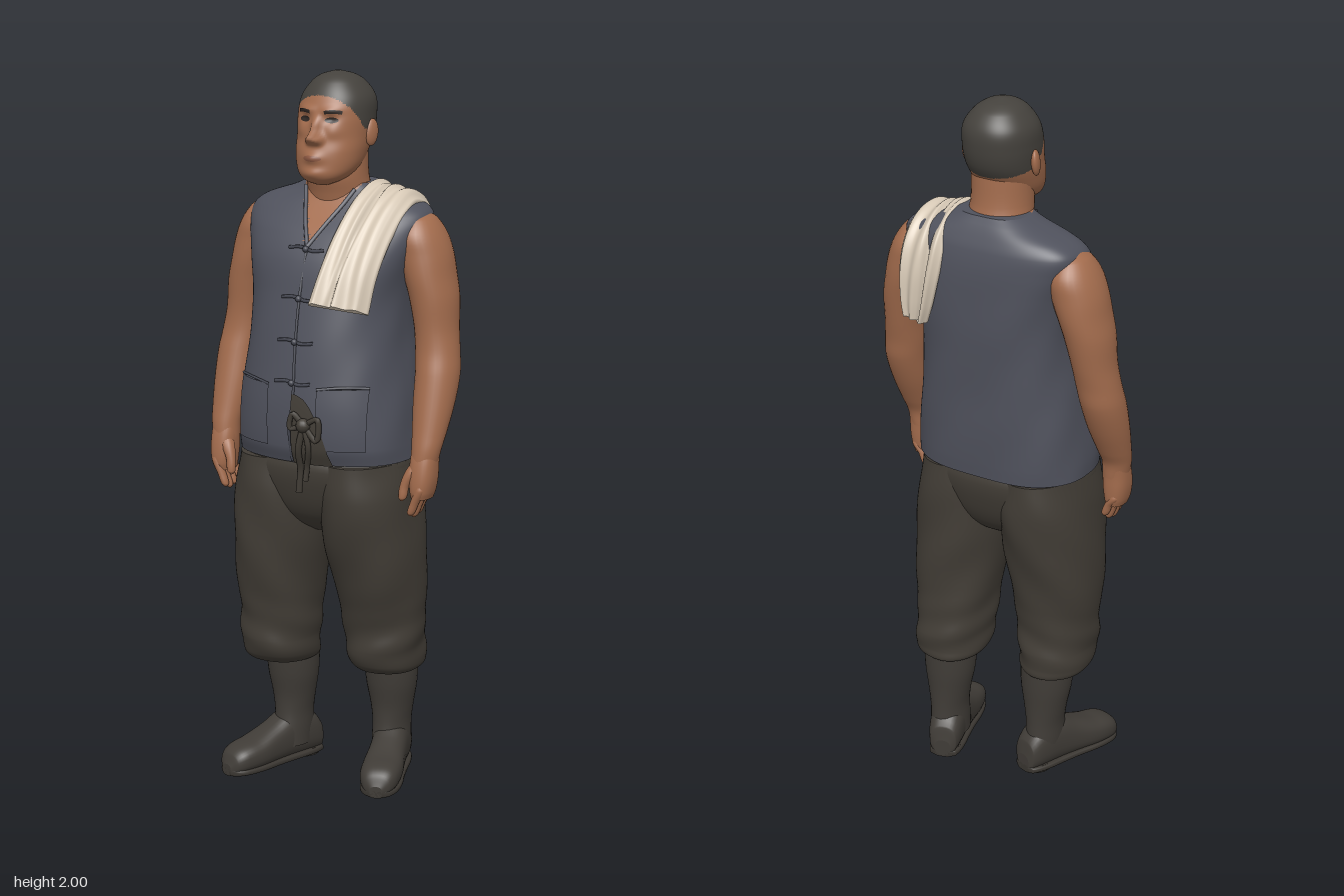
import * as THREE from 'three';

const mat = (name, color, side = THREE.FrontSide) => {
  const m = new THREE.MeshStandardMaterial({ color, side });
  m.name = name;
  return m;
};

// Skin closed rings of points into a smooth surface with end caps; pick() chooses a material per face
function skin(rings, pick) {
  const pos = [], n = rings[0].length, faces = [[], []];
  rings.forEach(r => r.forEach(p => pos.push(p.x, p.y, p.z)));
  const pt = i => new THREE.Vector3().fromArray(pos, i * 3);
  const tri = (a, b, c) => {
    const mid = pt(a).add(pt(b)).add(pt(c)).divideScalar(3);
    faces[pick && pick(mid) ? 1 : 0].push(a, b, c);
  };
  for (let i = 0; i < rings.length - 1; i++) for (let j = 0; j < n; j++) {
    const a = i * n + j, b = i * n + (j + 1) % n;
    tri(a, a + n, b);
    tri(b, a + n, b + n);
  }
  [rings[0], rings[rings.length - 1]].forEach((r, end) => {
    const base = pos.length / 3, c = new THREE.Vector3();
    r.forEach(p => { pos.push(p.x, p.y, p.z); c.addScaledVector(p, 1 / n); });
    pos.push(c.x, c.y, c.z);
    for (let j = 0; j < n; j++) {
      const a = base + j, b = base + (j + 1) % n;
      end ? tri(a, base + n, b) : tri(a, b, base + n);
    }
  });
  const g = new THREE.BufferGeometry();
  g.setAttribute('position', new THREE.Float32BufferAttribute(pos, 3));
  g.setIndex([...faces[0], ...faces[1]]);
  if (pick) {
    g.addGroup(0, faces[0].length, 0);
    g.addGroup(faces[0].length, faces[1].length, 1);
  }
  g.computeVertexNormals();
  return g;
}

// Smoothly interpolated section [y, cx, cz, rx, rz]
function at(S, y) {
  let i = 0;
  while (i < S.length - 2 && y > S[i + 1][0]) i++;
  const a = S[i], b = S[i + 1], p = S[i - 1] || a, q = S[i + 2] || b;
  const h = b[0] - a[0], t = Math.min(1, Math.max(0, (y - a[0]) / h));
  return [0, 1, 2, 3, 4].map(k => {
    const m0 = h * (b[k] - p[k]) / (b[0] - p[0]), m1 = h * (q[k] - a[k]) / (q[0] - a[0]);
    const v = a[k] + t * (m0 + t * (3 * (b[k] - a[k]) - 2 * m0 - m1 + t * (2 * (a[k] - b[k]) + m0 + m1)));
    return k > 2 ? Math.max(v, 0.002) : v;
  });
}

// Loft of superellipse sections; n and back set the squareness of the front and back halves
function loft(S, { seg = 32, sub = 5, n = 2, back = n, wave = () => 1, move, pick } = {}) {
  const rings = [], pw = (v, e) => Math.sign(v) * Math.abs(v) ** (2 / e);
  for (let i = 0; i < S.length - 1; i++) for (let k = i ? 1 : 0; k <= sub; k++) {
    const y = S[i][0] + (S[i + 1][0] - S[i][0]) * k / sub, [, cx, cz, rx, rz] = at(S, y);
    rings.push(Array.from({ length: seg }, (_, j) => {
      const a = j / seg * Math.PI * 2, w = wave(a, y), e = Math.sin(a) > 0 ? n : back;
      const p = new THREE.Vector3(cx + rx * w * pw(Math.cos(a), e), y, cz + rz * w * pw(Math.sin(a), e));
      if (move && Math.sin(a) > 0) move(p);
      return p;
    }));
  }
  return skin(rings, pick);
}

// Depth of a lofted part's front surface
const frontZ = (S, x, y, n) => {
  const [, cx, cz, rx, rz] = at(S, y);
  return cz + rz * Math.max(0, 1 - Math.abs((x - cx) / rx) ** n) ** (1 / n);
};

export function createModel() {
  const root = new THREE.Group();
  const M = {
    skin: mat('skin', 0xa36c4d), hair: mat('hair', 0x45423d), vest: mat('vest cloth', 0x50525d, THREE.DoubleSide),
    seam: mat('vest seam', 0x464852), trousers: mat('trouser cloth', 0x423d36, THREE.DoubleSide),
    boots: mat('boot leather', 0x403c37), sole: mat('sole', 0x3a3631), towel: mat('towel', 0xd6c8b5),
    dark: mat('brow and eye', 0x2e2622), lip: mat('lip', 0x8c5842),
  };
  const add = (name, g, m, parent = root) => {
    const mesh = new THREE.Mesh(g, m);
    mesh.name = name;
    parent.add(mesh);
    return mesh;
  };

  // Vest, with skin showing in the V neck
  const torso = [[.955, 0, 0, .255, .188], [1, 0, .006, .254, .198], [1.1, 0, .005, .246, .202], [1.2, 0, -.002, .234, .198],
    [1.3, 0, -.012, .224, .193], [1.4, 0, -.025, .224, .186], [1.5, 0, -.036, .244, .174], [1.57, 0, -.054, .262, .152],
    [1.62, 0, -.073, .267, .124], [1.65, 0, -.08, .232, .105], [1.68, 0, -.08, .145, .088], [1.7, 0, -.075, .1, .075]];
  add('vest', loft(torso, {
    seg: 96, sub: 8, n: 2.3, back: 2.75,
    wave: (a, y) => 1 + .01 * Math.sin(5 * a + y * 16) * Math.sin(y * 9 + 2 * a),
    pick: p => p.z > -.06 && Math.abs(p.x) < (p.y - 1.54) * .55,
  }), [M.vest, M.skin]);
  const vz = (x, y) => frontZ(torso, x, y, 2.3);
  const cord = (name, pts, r, m, lift = .003) => add(name, new THREE.TubeGeometry(new THREE.CatmullRomCurve3(
    pts.map(([x, y, l = 0]) => new THREE.Vector3(x, y, vz(x, y) + lift + l))), 24, r, 6), m);
  const decal = (name, g, zAt, lift, m, warp) => {
    const P = g.attributes.position;
    for (let i = 0; i < P.count; i++) {
      const [x, y] = warp ? warp(P.getX(i), P.getY(i)) : [P.getX(i), P.getY(i)];
      P.setXYZ(i, x, y, zAt(x, y) + lift);
    }
    g.computeVertexNormals();
    return add(name, g, m);
  };
  cord('frontEdge', [[0, 1.54], [0, 1.4], [.002, 1.25], [.005, 1.14], [-.005, 1.05], [-.005, .96]], .004, M.seam);
  for (const s of [-1, 1]) {
    cord('neckTrim', [[0, 1.54], [s * .033, 1.6], [s * .06, 1.65], [s * .077, 1.685]], .006, M.vest);
    decal('pocket', new THREE.PlaneGeometry(.125, .17, 12, 12).translate(s * .138, 1.085, 0), vz, .006, M.vest);
    cord('pocketEdge', [[s * .075, 1.168], [s * .14, 1.176], [s * .2, 1.172]], .004, M.seam, .005);
  }
  for (const y of [1.535, 1.405, 1.29, 1.18]) {
    cord('frogClosure', [[-.055, y], [-.02, y + .004], [.02, y - .004], [.055, y]], .005, M.seam, .003);
    add('knotButton', new THREE.SphereGeometry(.009, 12, 8), M.seam).position.set(0, y, vz(0, y) + .007);
  }

  // Waist opening and drawstring
  decal('waistOpening', new THREE.PlaneGeometry(1, 1, 10, 20), vz, .007, M.trousers, (u, v) => {
    const t = v + .5, w = .115 * (1 - t * .995) ** .4;
    return [.002 + (u + .5) * w, .955 + .195 * t];
  });
  add('drawstringKnot', new THREE.SphereGeometry(.02, 14, 10), M.trousers).position.set(.045, 1.07, vz(.045, 1.07) + .014);
  cord('drawstringLoop', [[.045, 1.07], [.015, 1.1, .006], [.008, 1.06, .006], [.045, 1.07]], .008, M.trousers, .012);
  cord('drawstringLoop', [[.045, 1.07], [.088, 1.09, .006], [.085, 1.03, .006], [.045, 1.07]], .008, M.trousers, .012);
  cord('drawstringTail', [[.045, 1.07], [.03, 1.0, .004], [.025, .94], [.02, .875]], .009, M.trousers, .012);
  cord('drawstringTail', [[.045, 1.07], [.06, 1.01, .004], [.045, .95], [.04, .91]], .008, M.trousers, .012);

  // Neck and head
  add('neck', loft([[1.58, 0, -.075, .09, .085], [1.67, 0, -.058, .09, .085], [1.72, 0, -.045, .086, .085],
    [1.8, 0, -.045, .084, .08]]), M.skin);
  const skull = [[1.7, 0, .035, .02, .02], [1.71, 0, .03, .045, .05], [1.725, 0, .02, .068, .07], [1.75, 0, .003, .085, .088],
    [1.79, 0, -.016, .095, .104], [1.83, 0, -.034, .1, .11], [1.88, 0, -.043, .103, .112], [1.93, 0, -.05, .098, .103],
    [1.97, 0, -.05, .071, .077], [1.99, 0, -.047, .043, .046], [2, 0, -.045, .008, .008]];
  const bumps = [[0, 1.83, .037, .017, .016], [0, 1.858, .02, .012, .024], [.017, 1.823, .014, .009, .01],
    [.036, 1.903, .007, .026, .01], [.038, 1.878, -.008, .017, .011], [.05, 1.845, .005, .022, .018],
    [0, 1.776, .012, .026, .016], [0, 1.735, .01, .034, .018]];
  const relief = (x, y) => bumps.reduce((sum, [bx, by, h, sx, sy]) =>
    sum + h * Math.exp(-(((Math.abs(x) - bx) / sx) ** 2) - ((y - by) / sy) ** 2), 0);
  add('head', loft(skull, {
    seg: 128, sub: 10, n: 2.15, move: p => { p.z += relief(p.x, p.y); },
    pick: p => p.y > 1.85 ? p.z < -.015 + (p.y - 1.85) * .7 : p.z < -.055 && p.y > 1.8 + .25 * (p.z + .14),
  }), [M.skin, M.hair]);
  const hz = (x, y) => frontZ(skull, x, y, 2.15) + relief(x, y);
  const oval = (x, y, rx, ry) => new THREE.RingGeometry(0, 1, 24, 5).scale(rx, ry, 1).translate(x, y, 0);
  decal('mouth', oval(0, 1.776, .028, .008), hz, .002, M.lip);
  for (const s of [-1, 1]) {
    decal('eye', oval(s * .041, 1.877, .018, .0075), hz, .002, M.dark);
    decal('eyebrow', new THREE.PlaneGeometry(.044, .01, 10, 3), hz, .002, M.dark,
      (x, y) => [s * .044 + x, 1.9 + y - 6 * x * x]);
    const ear = add('ear', new THREE.SphereGeometry(1, 18, 14), M.skin);
    ear.scale.set(.012, .037, .022);
    ear.position.set(s * .104, 1.838, -.047);
    ear.rotation.set(-.15, s * -.35, 0);
  }

  // Arms, hands, legs and boots; the right leg stands slightly forward
  for (const s of [-1, 1]) {
    const side = s > 0 ? 'left' : 'right';
    const flip = S => S.map(([y, x, z, rx, rz = rx]) => [y, s * x, z, rx, rz]);
    add(side + 'Arm', loft(flip([[.955, .318, .035, .036, .042], [1, .322, .029, .041, .042], [1.04, .322, .014, .047, .048],
      [1.12, .32, -.016, .057, .06], [1.2, .317, -.042, .061, .067], [1.26, .309, -.055, .061, .065], [1.32, .301, -.064, .06, .07],
      [1.4, .29, -.07, .066, .081], [1.46, .275, -.073, .069, .088], [1.52, .258, -.075, .074, .089], [1.57, .244, -.075, .068, .086],
      [1.61, .24, -.075, .045, .06], [1.63, .238, -.075, .02, .03]])), M.skin);
    const hand = new THREE.Group();
    hand.name = side + 'Hand';
    root.add(hand);
    add('palm', loft(flip([[.865, .317, .042, .026, .038], [.885, .319, .042, .031, .044], [.92, .32, .04, .036, .045],
      [.96, .32, .036, .037, .042], [1, .32, .028, .036, .038]]), { n: 2.4 }), M.skin, hand);
    for (let f = 0; f < 4; f++) {
      const z = .074 - f * .0215, tip = [.818, .81, .815, .832][f];
      add('finger', loft(flip([[tip, .298, z, .005], [tip + .008, .3, z, .011], [tip + .035, .31, z, .0125],
        [.89, .326, z, .0145], [.905, .326, z, .011]]), { seg: 12 }), M.skin, hand);
    }
    add('thumb', loft(flip([[.858, .274, .08, .004], [.867, .276, .079, .0115], [.9, .28, .074, .0135],
      [.94, .297, .062, .019], [.97, .31, .05, .013]]), { seg: 14 }), M.skin, hand);

    const forward = y => s > 0 ? 0 : .065 * THREE.MathUtils.smoothstep(.9 - y, 0, .5);
    const leg = S => flip(S).map(([y, x, z, rx, rz]) => [y, x, z + forward(y), rx, rz]);
    const bootX = s > 0 ? .15 : .138;
    add(side + 'TrouserLeg', loft(leg([[.315, .15, -.085, .07, .08], [.325, .153, -.075, .092, .105], [.35, .153, -.062, .102, .12],
      [.4, .152, -.057, .108, .124], [.48, .15, -.05, .113, .125], [.6, .148, -.03, .125, .145], [.72, .138, -.012, .133, .165],
      [.85, .131, 0, .13, .18], [.95, .125, 0, .12, .175]]), {
      seg: 64, sub: 8, n: 2.15,
      wave: (a, y) => 1 + .022 * Math.sin(4 * a + s * y * 22) * Math.cos(a - y * 7)
        + .028 * Math.sin(y * 60 + s * 2 * a) * Math.max(0, 1 - Math.abs(y - .4) / .15),
    }), M.trousers);
    add(side + 'BootShaft', loft(leg([[.05, 0, -.095, .05, .07], [.1, 0, -.098, .052, .07], [.15, 0, -.1, .053, .066],
      [.2, 0, -.1, .061, .066], [.27, 0, -.096, .074, .073], [.36, 0, -.092, .079, .077]])).translate(s * bootX, 0, 0), M.boots);
    const foot = new THREE.Group();
    foot.name = side + 'Foot';
    foot.position.set(s * (bootX + .002), 0, -.1 + forward(0));
    foot.rotation.y = s * .32;
    root.add(foot);
    // [length, height, half width] from heel to toe
    const last = [[-.086, .05, .024], [-.078, .095, .04], [-.03, .14, .05], [.03, .143, .051], [.09, .115, .053],
      [.155, .09, .058], [.21, .078, .054], [.24, .06, .04], [.254, .03, .018]];
    add('bootFoot', loft(last.map(([t, h, w]) => [t, 0, -h / 2 - .006, w, h / 2]), { n: 2.5 }).rotateX(Math.PI / 2), M.boots, foot);
    add('sole', loft(last.map(([t, , w]) => [t, 0, -.013, w, .011]), { n: 3.5 }).rotateX(Math.PI / 2), M.sole, foot);
    add('heel', new THREE.CylinderGeometry(.043, .043, .022, 24).scale(1, 1, 1.1).translate(0, .011, -.036), M.sole, foot);
  }
  add('trouserSeat', loft([[.73, 0, 0, .04, .06], [.76, 0, 0, .1, .11], [.8, 0, 0, .17, .145], [.86, 0, 0, .225, .17],
    [.93, 0, 0, .25, .183], [.98, 0, 0, .235, .17]], { seg: 64, n: 2.3 }), M.trousers);

  // Folded towel over the left shoulder: [inner x, outer x, y, z, outer y drop, outer z shift]
  const path = [[.056, .205, 1.4, .208, -.022, -.06], [.062, .21, 1.48, .161, -.012, -.045], [.07, .217, 1.56, .106, -.012, -.04],
    [.08, .224, 1.625, .05, -.02, -.035], [.087, .23, 1.668, -.005, -.03, -.02], [.09, .231, 1.691, -.068, -.036, 0],
    [.09, .231, 1.675, -.13, -.036, 0], [.088, .23, 1.62, -.186, -.025, .012], [.095, .228, 1.54, -.21, -.01, .012],
    [.115, .222, 1.45, -.214, 0, .01], [.135, .213, 1.39, -.211, .01, .01]];
  const inner = new THREE.CatmullRomCurve3(path.map(([a, , y, z]) => new THREE.Vector3(a, y, z)));
  const outer = new THREE.CatmullRomCurve3(path.map(([, b, y, z, dy, dz]) => new THREE.Vector3(b, y + dy, z + dz)));
  const rings = [], across = 40;
  for (let i = 0; i <= 60; i++) {
    const t = i / 60, a = inner.getPoint(t), b = outer.getPoint(t), d = inner.getTangent(t);
    const normal = new THREE.Vector3(0, -d.z, d.y).normalize();
    const row = (v, lift) => a.clone().lerp(b, v).addScaledVector(normal, lift);
    const ring = [];
    for (let j = across; j >= 0; j--) {
      const v = j / across, edge = Math.min(1, 8 * v, 8 * (1 - v));
      const crease = .014 * Math.exp(-(((v - .36 - .05 * Math.sin(t * 5)) / .05) ** 2));
      ring.push(row(v, .004 + edge * (.016 + .005 * Math.sin(v * 17 + 1.5 * Math.sin(t * 5)) - crease)));
    }
    for (let j = 0; j <= across; j++) ring.push(row(j / across, -.004));
    rings.push(ring);
  }
  add('towel', skin(rings), M.towel);
  return root;
}
